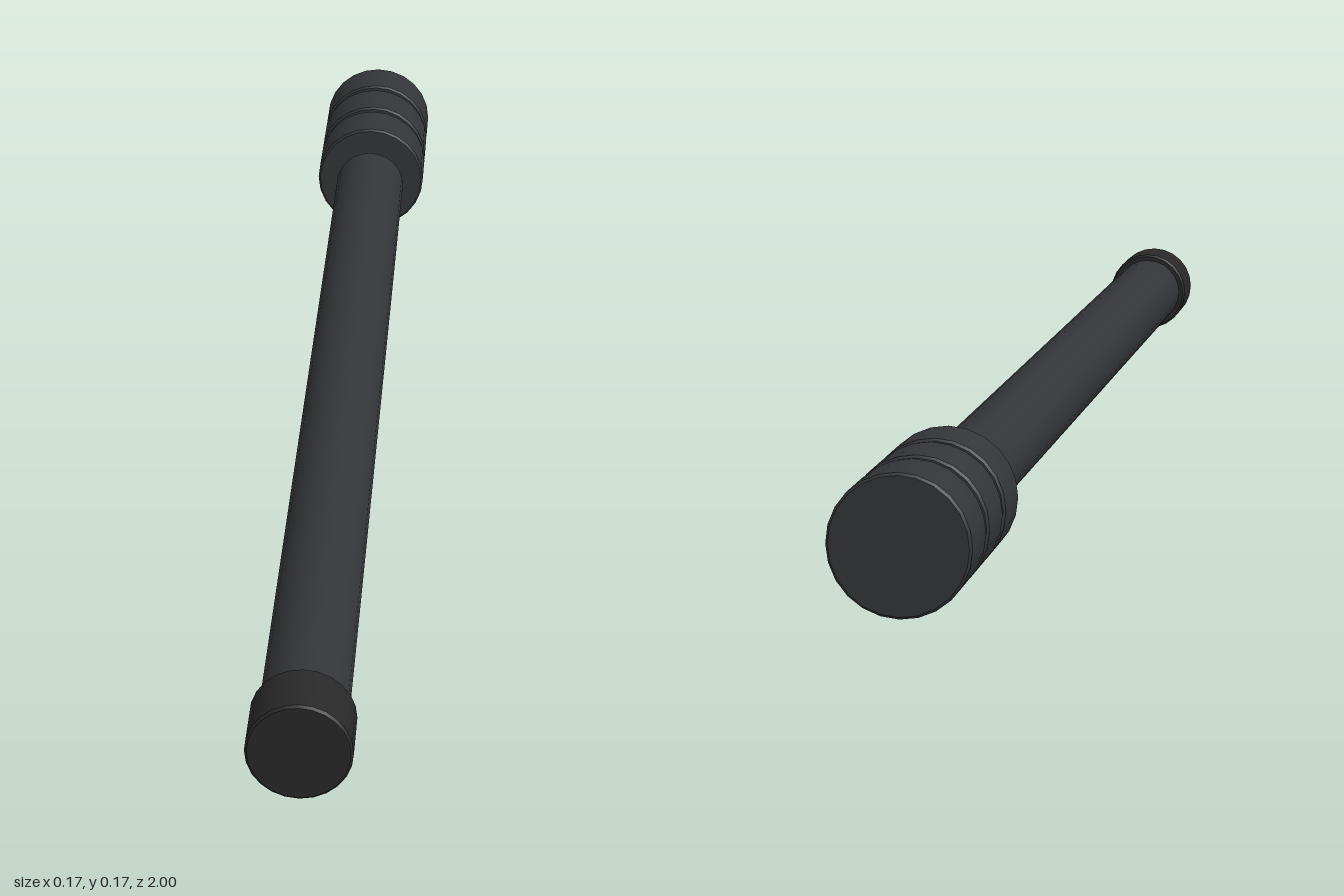
import * as THREE from 'three';
import { toCreasedNormals } from 'three/addons/utils/BufferGeometryUtils.js';

const AXIS_Y = 0.084;
const BEVEL = 0.003;

// Solid round bar along z with a fine bevel on both rims
function roundBar(name, radius, zBack, zFront, material) {
  const half = (zFront - zBack) / 2;
  const profile = [
    [0, -half], [radius - BEVEL, -half], [radius, -half + BEVEL],
    [radius, half - BEVEL], [radius - BEVEL, half], [0, half],
  ].map(([r, y]) => new THREE.Vector2(r, y));
  const geometry = toCreasedNormals(new THREE.LatheGeometry(profile, 24), 0.5);
  geometry.rotateX(Math.PI / 2);
  const mesh = new THREE.Mesh(geometry, material);
  mesh.name = name;
  mesh.position.set(0, AXIS_Y, (zBack + zFront) / 2);
  return mesh;
}

export function createModel() {
  const model = new THREE.Group();
  model.name = 'rodWithDiscs';
  const steel = new THREE.MeshStandardMaterial({ color: 0x333538 });
  const dark = new THREE.MeshStandardMaterial({ color: 0x282828 });

  // Long rod and the collar on its front end
  model.add(roundBar('rod', 0.053, -0.7, 0.93, steel));
  model.add(roundBar('frontCap', 0.0625, 0.917, 1, dark));

  // Three separate discs behind the rod, with open gaps between them
  const discs = new THREE.Group();
  discs.name = 'rearDiscs';
  for (let i = 0; i < 3; i++) {
    const back = -1 + i * 0.0985;
    discs.add(roundBar(`disc${i + 1}`, 0.084, back, back + 0.083, steel));
  }
  model.add(discs);
  return model;
}
